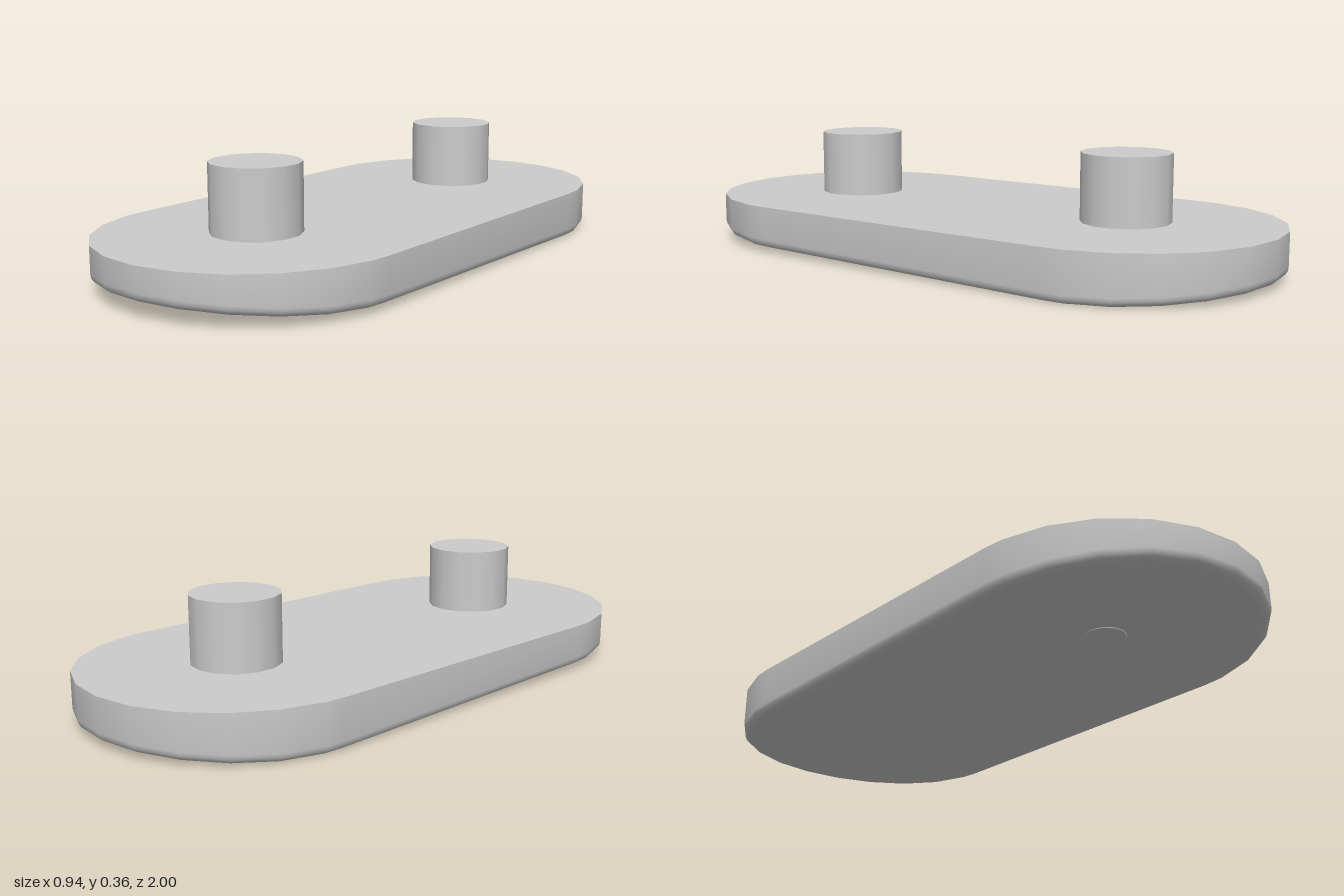
import * as THREE from 'three';
import { toCreasedNormals } from 'three/addons/utils/BufferGeometryUtils.js';

const RADIUS = 0.47, HALF = 0.53, TOP = 0.15, BEVEL = 0.03;

// Angles around the stadium outline, counter-clockwise seen from above
const angles = [];
for (const start of [0, Math.PI]) {
  angles.push(start - Math.PI / 2);
  for (let k = -5; k <= 5; k++) angles.push(start + k * Math.PI / 11);
  angles.push(start + Math.PI / 2);
}

// Underside: arched across the width and slightly tilted along the length
const underside = (x, z) => 0.0085 + 0.015 * z + 0.024 * (1 - (x / 0.44) ** 2);

function ring(radius, half, height) {
  return angles.map((a, i) => {
    const x = radius * Math.sin(a);
    const z = radius * Math.cos(a) + (i < angles.length / 2 ? half : -half);
    return [x, height(x, z), z];
  });
}

function plateGeometry() {
  const flat = () => TOP;
  const rings = [ring(0, 0, flat), ring(RADIUS, HALF, flat)];
  // rounded lower edge
  for (let i = 0; i <= 4; i++) {
    const a = i / 4 * Math.PI / 2;
    rings.push(ring(RADIUS - BEVEL * (1 - Math.cos(a)), HALF,
      (x, z) => underside(x, z) + BEVEL * (1 - Math.sin(a))));
  }
  // arched underside, closing on the middle
  for (const s of [0.85, 0.7, 0.5, 0.25, 0]) {
    rings.push(ring((RADIUS - BEVEL) * s, HALF * s, underside));
  }
  const n = angles.length, index = [];
  for (let i = 0; i < rings.length - 1; i++) {
    for (let j = 0; j < n; j++) {
      const k = (j + 1) % n;
      const a = i * n + j, b = i * n + k, c = a + n, d = b + n;
      if (i > 0) index.push(a, c, b);
      if (i < rings.length - 2) index.push(b, c, d);
      else continue;
    }
  }
  // first ring is a single point, so its fan uses only the outer edge
  const geometry = new THREE.BufferGeometry();
  geometry.setAttribute('position', new THREE.Float32BufferAttribute(rings.flat(2), 3));
  geometry.setIndex(index);
  return toCreasedNormals(geometry, 0.7);
}

export function createModel() {
  const group = new THREE.Group();
  const material = new THREE.MeshStandardMaterial({ color: 0xcccccc });
  const add = (name, geometry, x, y, z) => {
    const mesh = new THREE.Mesh(geometry, material);
    mesh.name = name;
    mesh.position.set(x, y, z);
    group.add(mesh);
    return mesh;
  };

  add('plate', plateGeometry(), 0, 0, 0);

  // Two round pegs on top
  const pegHeight = 0.257;
  const peg = new THREE.CylinderGeometry(0.137, 0.137, pegHeight, 14);
  add('frontPeg', peg, 0, 0.1 + pegHeight / 2, 0.525);
  add('backPeg', peg, 0, 0.1 + pegHeight / 2, -0.525);

  // Shallow bump under the front peg
  const bump = add('undersideBump', new THREE.SphereGeometry(0.065, 16, 10), 0, underside(0, 0.53), 0.53);
  bump.scale.y = 0.1;

  return group;
}
